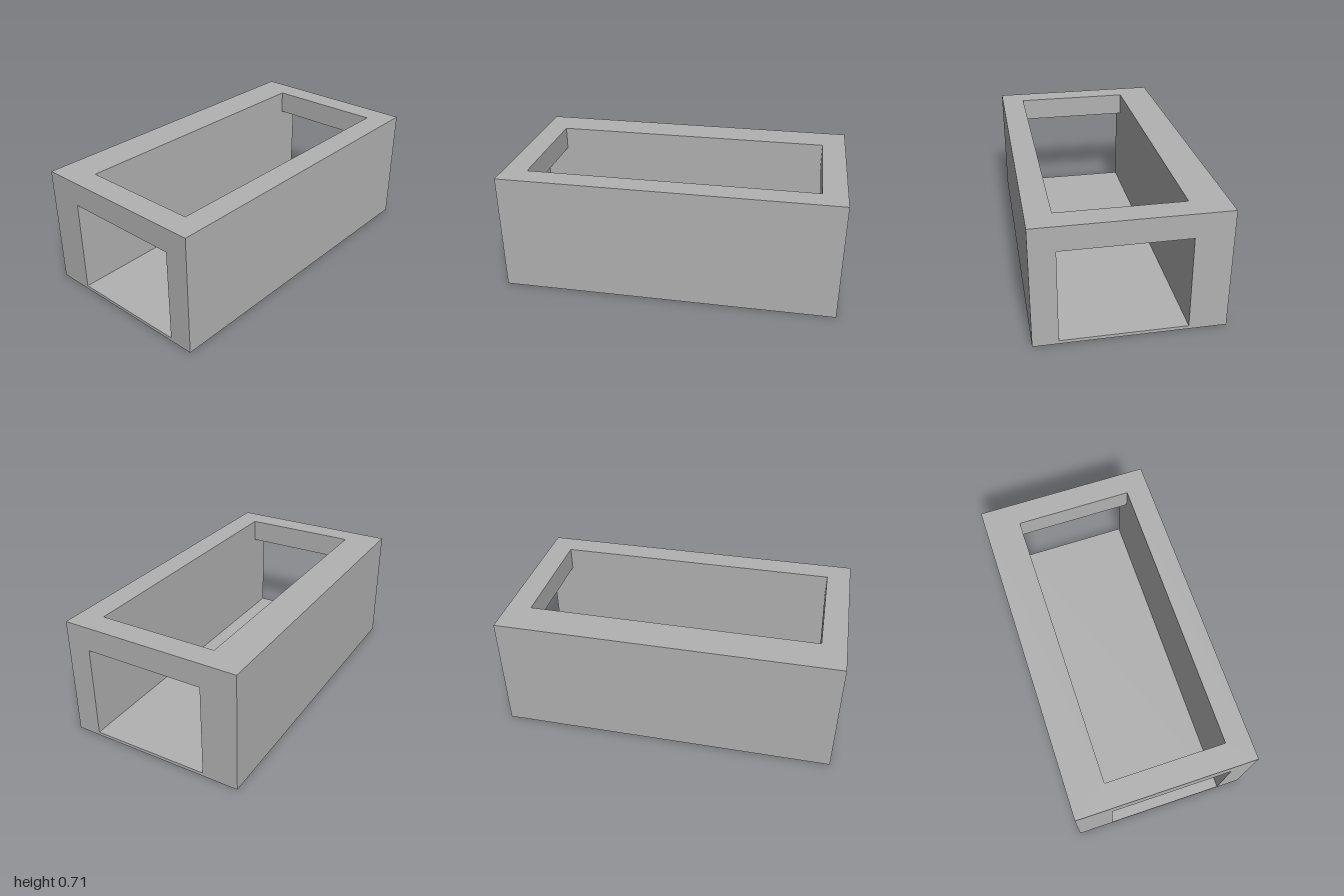
import * as THREE from 'three';
import { mergeGeometries } from 'three/addons/utils/BufferGeometryUtils.js';

// Outer block: half length, half depth, height
const L = 1, D = 0.536, H = 0.714;
// Cavity: front and back wall planes, floor level, lintel underside, half length of top opening
const ZF = 0.393, ZB = -0.321, FLOOR = 0.02, LINTEL = 0.572, OPEN = 0.857;

const rect = (x0, y0, x1, y1) => [[x0, y0], [x1, y0], [x1, y1], [x0, y1]]
  .map(([x, y]) => new THREE.Vector2(x, y));

// Flat panel drawn in xy, optionally with a hole, turned to face its direction
function panel(points, facing, offset, hole) {
  const shape = new THREE.Shape(points);
  if (hole) shape.holes.push(new THREE.Path(hole));
  const geo = new THREE.ShapeGeometry(shape).translate(0, 0, offset);
  const turns = {
    front: g => g,
    back: g => g.rotateY(Math.PI),        // u = -x
    left: g => g.rotateY(Math.PI / 2),    // u = -z, faces +x
    right: g => g.rotateY(-Math.PI / 2),  // u = z, faces -x
    up: g => g.rotateX(-Math.PI / 2),     // v = -z
    down: g => g.rotateX(Math.PI / 2),    // v = z
  };
  return turns[facing](geo);
}

export function createModel() {
  const group = new THREE.Group();
  group.name = 'openChannelBlock';
  const grey = new THREE.MeshStandardMaterial({ color: 0xb2b2b2 });
  grey.name = 'grey';
  const add = (name, panels) => {
    const mesh = new THREE.Mesh(mergeGeometries(panels), grey);
    mesh.name = name;
    group.add(mesh);
  };

  // Outer shell: plain long sides and base, framed ends and rim
  add('outerShell', [
    panel(rect(-L, 0, L, H), 'front', D),
    panel(rect(-L, 0, L, H), 'back', D),
    panel(rect(-L, -D, L, D), 'down', 0),
    panel(rect(-D, 0, D, H), 'left', L, rect(-ZF, FLOOR, -ZB, LINTEL)),
    panel(rect(-D, 0, D, H), 'right', L, rect(ZB, FLOOR, ZF, LINTEL)),
    panel(rect(-L, -D, L, D), 'up', H, rect(-OPEN, -ZF, OPEN, -ZB)),
  ]);

  // Inner walls: full length below the lintels, shorter at the top opening
  const wall = [[-L, FLOOR], [L, FLOOR], [L, LINTEL], [OPEN, LINTEL],
    [OPEN, H], [-OPEN, H], [-OPEN, LINTEL], [-L, LINTEL]]
    .map(([x, y]) => new THREE.Vector2(x, y));
  add('innerWalls', [panel(wall, 'front', ZB), panel(wall, 'back', -ZF)]);

  // Channel floor
  add('channelFloor', [panel(rect(-L, -ZF, L, -ZB), 'up', FLOOR)]);

  // Undersides and inner faces of the two end lintels
  add('lintels', [
    panel(rect(OPEN, ZB, L, ZF), 'down', -LINTEL),
    panel(rect(-L, ZB, -OPEN, ZF), 'down', -LINTEL),
    panel(rect(-ZF, LINTEL, -ZB, H), 'left', -OPEN),
    panel(rect(ZB, LINTEL, ZF, H), 'right', -OPEN),
  ]);

  return group;
}
